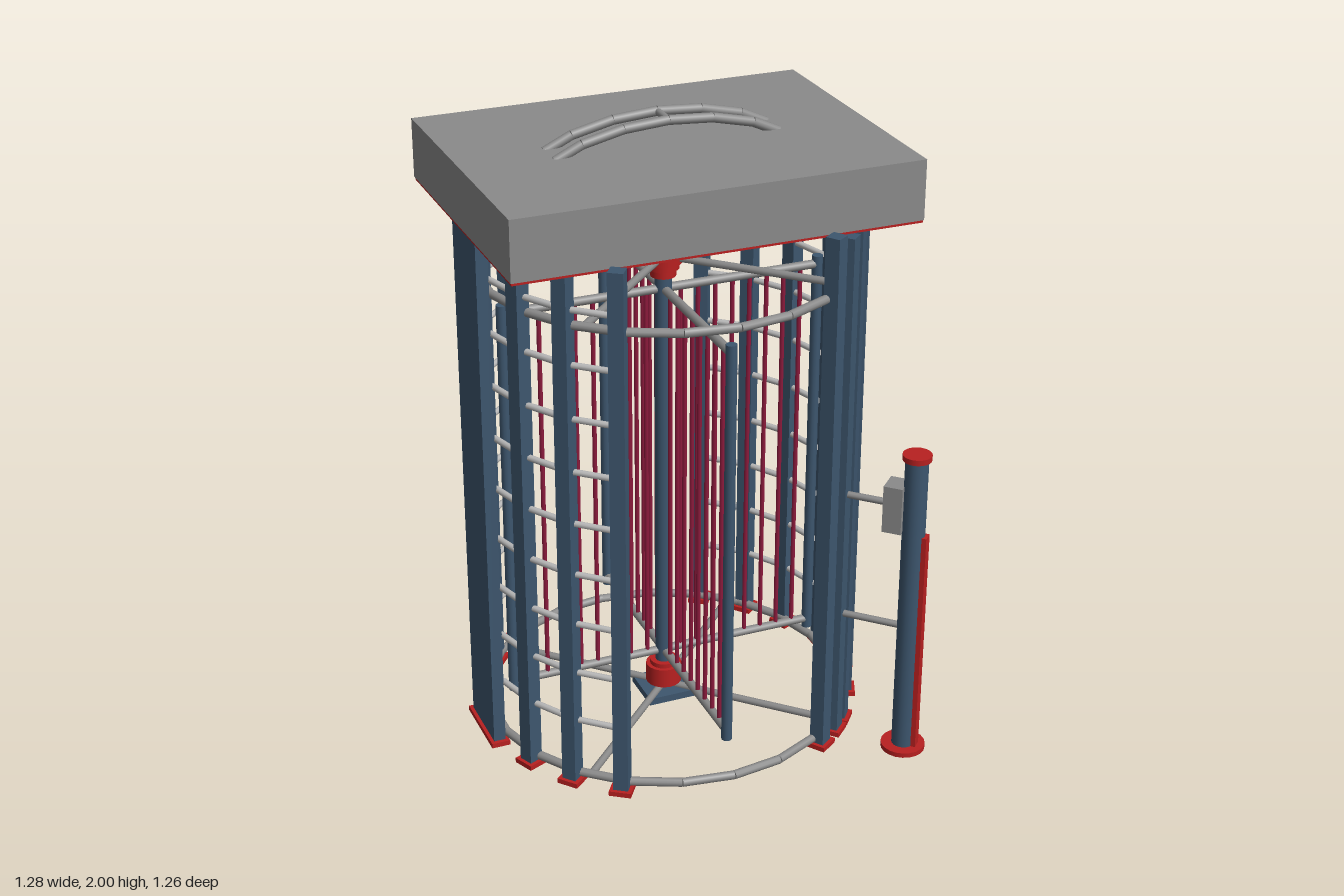
import * as THREE from 'three';

const mat = (name, color, extra = {}) => Object.assign(new THREE.MeshStandardMaterial({ color, ...extra }), { name });
const V = (x, y, z) => new THREE.Vector3(x, y, z);

export function createModel() {
  const blue = mat('steel blue paint', 0x3d566e);
  const red = mat('signal red paint', 0xb82020);
  const crimson = mat('crimson bars', 0x8c1a3c);
  const grey = mat('grey tube', 0x8a8a8a);
  const light = mat('light rungs', 0xb8b8b8);

  const model = new THREE.Group();
  model.name = 'fullHeightTurnstile';
  // everything except the roof, its handles and the bollard turns about this axis
  const cage = new THREE.Group();
  cage.name = 'cage';
  cage.position.set(-0.01, 0, -0.037);
  model.add(cage);

  const add = (parent, name, geo, material, x = 0, y = 0, z = 0, ry = 0) => {
    const m = new THREE.Mesh(geo, material);
    m.name = name;
    m.position.set(x, y, z);
    m.rotation.y = ry;
    parent.add(m);
    return m;
  };
  const box = (parent, name, w, h, d, material, x, y, z, ry) =>
    add(parent, name, new THREE.BoxGeometry(w, h, d), material, x, y, z, ry);
  const disc = (parent, name, r, y0, y1, material, x = 0, z = 0, sides = 20) =>
    add(parent, name, new THREE.CylinderGeometry(r, r, y1 - y0, sides), material, x, (y0 + y1) / 2, z);
  const rod = (parent, name, a, b, r, material, sides = 10) => {
    const dir = b.clone().sub(a);
    const m = add(parent, name, new THREE.CylinderGeometry(r, r, dir.length(), sides), material);
    m.position.copy(a).add(b).multiplyScalar(0.5);
    m.quaternion.setFromUnitVectors(V(0, 1, 0), dir.normalize());
    return m;
  };
  const polar = (deg, r, y) => {
    const a = THREE.MathUtils.degToRad(deg);
    return V(Math.cos(a) * r, y, Math.sin(a) * r);
  };
  // straight rods joined end to end
  const chain = (parent, name, points, r, material) => {
    for (let i = 1; i < points.length; i++) rod(parent, name, points[i - 1], points[i], r, material);
  };

  // Roof with red underside
  box(model, 'roof', 1.27, 0.187, 0.915, grey, -0.01, 1.8215, -0.037);
  box(model, 'roofUnderside', 1.265, 0.008, 0.91, red, -0.01, 1.724, -0.037);

  // Twin curved handles on the roof
  const arch = [[-0.355, 1.905], [-0.27, 1.945], [-0.14, 1.975], [0, 1.985], [0.14, 1.975], [0.27, 1.945], [0.355, 1.905]];
  for (const z of [-0.085, 0.005])
    chain(model, 'roofHandle', arch.map(([x, y]) => V(x - 0.01, y, z)), 0.015, grey);
  rod(model, 'handleLink', V(-0.01, 1.985, -0.085), V(-0.01, 1.985, 0.005), 0.011, grey);

  // Fixed posts standing on red feet
  const POST_R = 0.595;
  const post = (deg, h) => {
    const p = polar(deg, POST_R, 0);
    const ry = -THREE.MathUtils.degToRad(deg);
    box(cage, 'post', 0.047, h, 0.047, blue, p.x, h / 2 + 0.004, p.z, ry);
    box(cage, 'postFoot', 0.07, 0.016, 0.07, red, p.x, 0.008, p.z, ry);
  };
  const steps = [23.5, 39.5, 55.5];
  for (const side of [0, 180]) {
    for (const s of [-1, 1]) {
      for (const a of steps) post(side + s * a, 1.731);
      // comb rungs from the wide panel through the posts
      for (let i = 0; i < 9; i++)
        chain(cage, 'rung', [9, ...steps].map(a => polar(side + s * a, 0.59, 0.225 + i * 0.171)), 0.01, light);
    }
    // wide side panel
    const x = side ? -0.606 : 0.606;
    box(cage, 'sidePanel', 0.038, 1.716, 0.214, blue, x, 0.862, 0);
    box(cage, 'sidePanelFoot', 0.06, 0.016, 0.24, red, x, 0.008, 0);
  }
  post(46.5, 1.7);

  // Floor and head rings with diagonal spokes
  for (const y of [0.028, 1.543]) {
    const pts = [];
    for (let i = 0; i <= 22; i++) pts.push(polar(90 + i * 360 / 22, 0.58, y));
    chain(cage, 'ring', pts, 0.014, grey);
    for (let k = 0; k < 4; k++) rod(cage, 'ringSpoke', V(0, y, 0), polar(45 + k * 90, 0.58, y), 0.012, grey);
  }

  // Rotor column and bearings
  disc(cage, 'column', 0.027, 0.02, 1.6, blue);
  box(cage, 'columnBase', 0.16, 0.024, 0.16, blue, 0, 0.012, 0);
  disc(cage, 'lowerBearing', 0.058, 0.04, 0.105, red);
  disc(cage, 'lowerBearingCap', 0.045, 0.105, 0.12, red);
  disc(cage, 'upperBearing', 0.058, 1.555, 1.61, red);
  disc(cage, 'upperBearingMiddle', 0.059, 1.525, 1.55, red);
  disc(cage, 'upperBearingCore', 0.05, 1.505, 1.56, red);
  disc(cage, 'upperBearingNeck', 0.04, 1.48, 1.505, red);
  disc(cage, 'bearingPin', 0.022, 1.61, 1.628, blue);

  // Sensor arm over the rotor
  rod(cage, 'sensorLever', V(0.07, 1.637, 0), V(0.16, 1.64, 0), 0.005, red, 8);
  box(cage, 'sensorHead', 0.027, 0.045, 0.03, blue, 0.155, 1.658, 0);
  rod(cage, 'sensorPipe', V(0.145, 1.678, 0), V(0.59, 1.678, 0), 0.012, grey);

  // Four rotor wings with vertical bars
  for (let k = 0; k < 4; k++) {
    const wing = new THREE.Group();
    wing.name = 'wing';
    wing.rotation.y = k * Math.PI / 2;
    cage.add(wing);
    for (const y of [0.155, 1.437]) rod(wing, 'wingRail', V(0, y, 0), V(0.52, y, 0), 0.014, grey);
    for (let i = 1; i <= 8; i++) disc(wing, 'wingBar', 0.0075, 0.155, 1.437, crimson, i * 0.0575, 0, 8);
    disc(wing, 'wingEndPost', 0.017, 0.125, 1.465, blue, 0.518, 0, 12);
  }

  // Bollard with card reader, its local +z pointing outward
  const bollard = new THREE.Group();
  bollard.name = 'bollard';
  bollard.position.set(0.567, 0, 0.56);
  bollard.rotation.y = Math.PI / 4;
  model.add(bollard);
  disc(bollard, 'bollardFoot', 0.07, 0, 0.016, red);
  disc(bollard, 'bollardPole', 0.036, 0.01, 1.025, blue);
  disc(bollard, 'bollardCap', 0.045, 1.022, 1.04, red);
  box(bollard, 'bollardStrip', 0.035, 0.755, 0.02, red, 0, 0.39, 0.036);
  box(bollard, 'reader', 0.075, 0.155, 0.06, grey, 0, 0.853, -0.06);
  for (const y of [0.86, 0.44]) rod(bollard, 'bollardBracket', V(0, y, -0.215), V(0, y, -0.01), 0.011, grey);

  return model;
}
